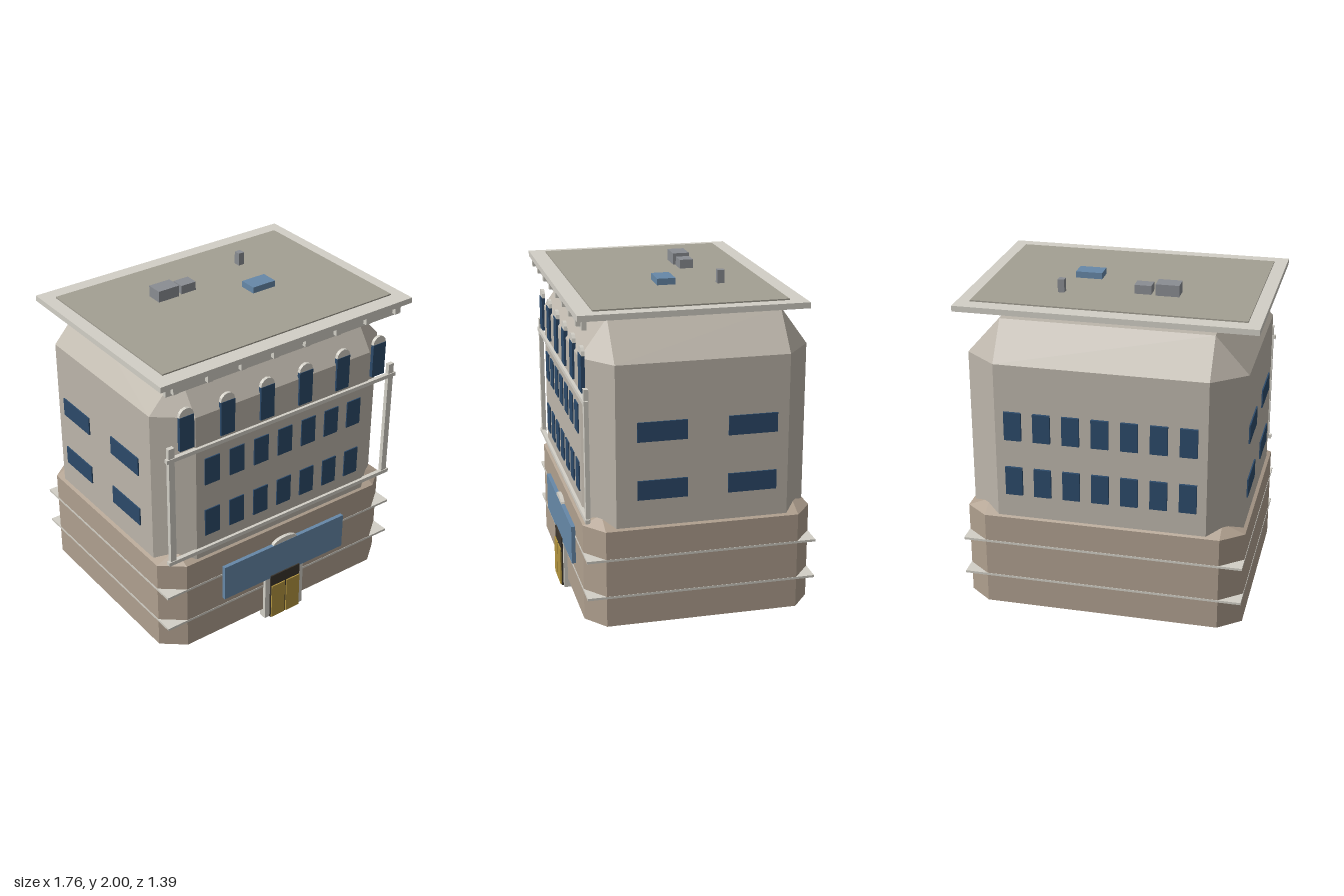
import * as THREE from 'three';
import { ConvexGeometry } from 'three/addons/geometries/ConvexGeometry.js';

const mat = (color) => new THREE.MeshStandardMaterial({ color, flatShading: true });

export function createModel() {
  const root = new THREE.Group();
  const wall = mat(0xbdb6ab), stone = mat(0xb0a08f), trim = mat(0xd2cfc6), roofing = mat(0xa39f93);
  const glass = mat(0x2c4a6a), paleGlass = mat(0x6688a8), metal = mat(0x8a8d92);
  const gold = mat(0xb3953f), dark = mat(0x3a342c);

  const add = (name, geometry, material, parent = root) => {
    const mesh = new THREE.Mesh(geometry, material);
    mesh.name = name;
    parent.add(mesh);
    return mesh;
  };
  const group = (name) => {
    const g = new THREE.Group();
    g.name = name;
    root.add(g);
    return g;
  };
  // Box given by its limits on each axis
  const box = (name, material, [x0, x1], [y0, y1], [z0, z1], parent) => {
    const mesh = add(name, new THREE.BoxGeometry(x1 - x0, y1 - y0, z1 - z0), material, parent);
    mesh.position.set((x0 + x1) / 2, (y0 + y1) / 2, (z0 + z1) / 2);
    return mesh;
  };
  // Box with every edge cut by the same fraction of its size
  const bevelBox = (name, material, [x0, x1], [y0, y1], [z0, z1], cut) => {
    const pts = [];
    const size = [x1 - x0, y1 - y0, z1 - z0];
    for (const sx of [-1, 1]) for (const sy of [-1, 1]) for (const sz of [-1, 1])
      for (let axis = 0; axis < 3; axis++) {
        const p = [sx, sy, sz].map((s, i) => s * size[i] * (i === axis ? 0.5 : 0.5 - cut));
        pts.push(new THREE.Vector3(...p));
      }
    const mesh = add(name, new ConvexGeometry(pts), material);
    mesh.position.set((x0 + x1) / 2, (y0 + y1) / 2, (z0 + z1) / 2);
  };
  const around = (c, w) => [c - w / 2, c + w / 2];

  // Main masses
  bevelBox('upperBody', wall, [-0.82, 0.82], [0, 1.83], [-0.677, 0.645], 0.12);
  bevelBox('stoneBase', stone, [-0.84, 0.84], [0.002, 0.7], [-0.693, 0.66], 0.08);
  for (const y of [0.24, 0.47])
    box('baseBand', trim, [-0.842, 0.842], around(y, 0.014), [-0.695, 0.662]);

  // Rows of windows on the front and back
  const windows = group('windows');
  for (const y of [[0.8, 0.977], [1.15, 1.325]]) {
    for (let i = -3; i <= 3; i++) {
      const x = around(i * 0.172, 0.102);
      box('frontWindow', glass, x, y, [0.635, 0.652], windows);
      box('backWindow', glass, x, y, [-0.693, -0.67], windows);
    }
  }
  // Wide windows on both sides
  for (const y of [[0.815, 0.93], [1.16, 1.275]])
    for (const z of [[0.075, 0.365], [-0.45, -0.163]])
      for (const s of [-1, 1])
        box('sideWindow', glass, around(s * 0.818, 0.02), y, z, windows);

  // Arched windows of the top floor
  const arch = new THREE.CylinderGeometry(0.048, 0.048, 0.02, 12).rotateX(Math.PI / 2);
  for (let i = 0; i < 6; i++) {
    const x = (i - 2.5) * 0.275;
    box('archedWindow', glass, around(x, 0.095), [1.44, 1.653], [0.635, 0.657], windows);
    add('windowArch', arch, trim, windows).position.set(x, 1.653, 0.644);
  }

  // Frame of columns and rails across the facade
  const frame = group('facadeFrame');
  for (const s of [-1, 1])
    box('column', trim, around(s * 0.792, 0.038), [0.7, 1.482], [0.632, 0.658], frame);
  for (const y of [0.712, 1.407])
    box('rail', trim, [-0.825, 0.825], around(y, 0.024), [0.638, 0.663], frame);

  // Cornice with brackets
  box('cornice', trim, [-0.825, 0.825], [1.82, 1.88], [0.637, 0.664]);
  for (let i = 0; i < 8; i++)
    box('bracket', trim, around((i - 3.5) * 0.222, 0.034), [1.835, 1.88], [0.66, 0.69]);

  // Roof slab and rooftop equipment
  box('roofSlab', trim, [-0.878, 0.878], [1.88, 1.914], [-0.604, 0.697]);
  box('roofSurface', roofing, [-0.8, 0.8], [1.905, 1.922], [-0.508, 0.6]);
  box('largeVent', metal, [-0.355, -0.215], [1.915, 1.99], [-0.197, -0.097]);
  box('smallVent', metal, [-0.19, -0.09], [1.915, 1.975], [-0.19, -0.108]);
  box('chimney', metal, [0.308, 0.347], [1.915, 2], [-0.264, -0.222]);
  box('skylight', paleGlass, [0.153, 0.313], [1.915, 1.96], [0.02, 0.128]);

  // Entrance
  const entrance = group('entrance');
  box('shopFront', paleGlass, [-0.452, 0.452], [0.298, 0.532], [0.65, 0.684], entrance);
  const crest = add('crest', new THREE.CylinderGeometry(0.09, 0.09, 0.025, 16).rotateX(Math.PI / 2), trim, entrance);
  crest.scale.y = 0.4;
  crest.position.set(0, 0.53, 0.67);
  box('doorFrame', dark, [-0.11, 0.11], [0, 0.315], [0.655, 0.692], entrance);
  for (const s of [-1, 1]) {
    box('door', gold, around(s * 0.056, 0.1), [0.003, 0.24], [0.68, 0.7], entrance);
    box('doorPilaster', trim, around(s * 0.127, 0.035), [0, 0.3], [0.632, 0.682], entrance);
  }
  return root;
}
